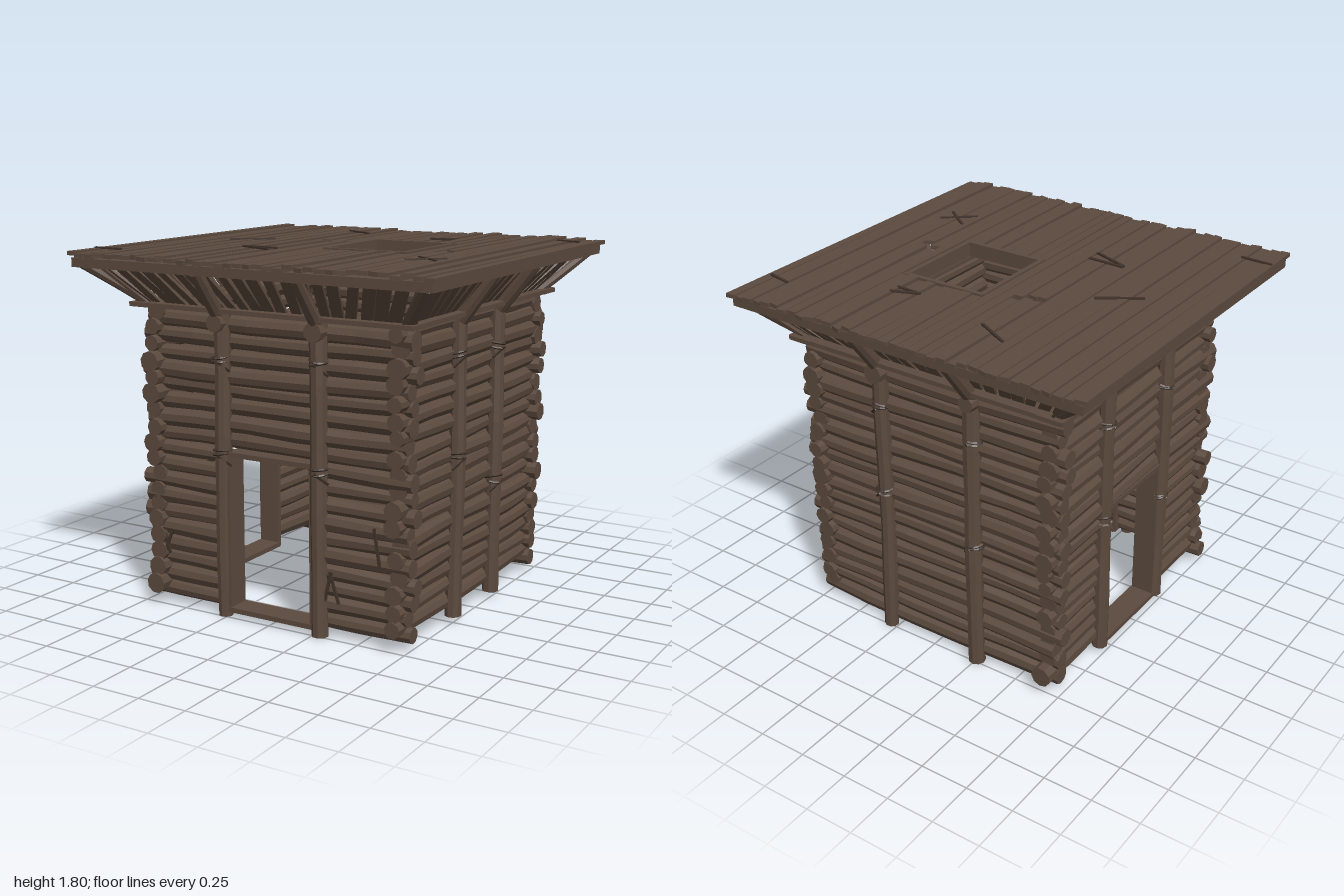
import * as THREE from 'three';

const wood = new THREE.MeshStandardMaterial({ color: 0x5c4a3e, flatShading: true });
wood.name = 'brown wood';
const rope = new THREE.MeshStandardMaterial({ color: 0x40332b, flatShading: true });
rope.name = 'dark rope';

const V = (x, y, z) => new THREE.Vector3(x, y, z);

export function createModel() {
  let seed = 11;
  const rnd = () => (seed = (seed * 16807) % 2147483647) / 2147483647;
  const jit = (a) => (rnd() * 2 - 1) * a;

  const root = new THREE.Group();
  root.name = 'logHut';
  const group = (name) => {
    const g = new THREE.Group();
    g.name = name;
    root.add(g);
    return g;
  };

  // Slightly crooked round log from a to b
  function log(parent, name, a, b, r, bend = 0.006) {
    const len = a.distanceTo(b);
    const geo = new THREE.CylinderGeometry(r * (1 + jit(0.1)), r * (1 + jit(0.1)), len, 9, 5);
    const p = geo.attributes.position;
    const ph = rnd() * 6, f = 3 + rnd() * 2;
    for (let i = 0; i < p.count; i++) {
      const y = p.getY(i);
      const k = 1 + 0.06 * Math.sin(y * 9 + ph);
      p.setX(i, p.getX(i) * k + bend * Math.sin(y * f + ph));
      p.setZ(i, p.getZ(i) * k + bend * Math.cos(y * f + ph * 2));
    }
    geo.computeVertexNormals();
    const m = new THREE.Mesh(geo, wood);
    m.name = name;
    m.position.copy(a).add(b).multiplyScalar(0.5);
    m.quaternion.setFromUnitVectors(V(0, 1, 0), b.clone().sub(a).normalize());
    m.rotateY(rnd() * 6);
    parent.add(m);
  }

  // Rough board from a to b; face is the direction its broad side looks
  function plank(parent, name, a, b, w, t, face, rough = 0, mat = wood) {
    const len = a.distanceTo(b);
    const geo = new THREE.BoxGeometry(w, len, t);
    const p = geo.attributes.position;
    const off = [0, 1, 2, 3].map(() => [jit(rough * 0.4), jit(rough)]);
    for (let i = 0; i < p.count; i++) {
      const o = off[(p.getX(i) > 0 ? 1 : 0) + (p.getY(i) > 0 ? 2 : 0)];
      p.setXY(i, p.getX(i) + o[0], p.getY(i) + o[1]);
    }
    geo.computeVertexNormals();
    const m = new THREE.Mesh(geo, mat);
    m.name = name;
    const y = b.clone().sub(a).normalize();
    const x = y.clone().cross(face).normalize();
    const z = x.clone().cross(y);
    m.quaternion.setFromRotationMatrix(new THREE.Matrix4().makeBasis(x, y, z));
    m.position.copy(a).add(b).multiplyScalar(0.5);
    parent.add(m);
  }

  // Each wall: u runs along the wall, d is the distance outward from the middle
  const C = 0.015; // wall centre in x
  const walls = [
    { name: 'frontWall', at: (u, y, d) => V(u + C, y, d), n: V(0, 0, 1), posts: [-0.285, 0.265], door: true, lift: 0, foot: 0 },
    { name: 'backWall', at: (u, y, d) => V(u + C, y, -d), n: V(0, 0, -1), posts: [-0.265, 0.275], door: false, lift: 0, foot: 0 },
    { name: 'leftWall', at: (u, y, d) => V(d + C, y, u), n: V(1, 0, 0), posts: [-0.2, 0.23], door: false, lift: 0.04, foot: 0.03 },
    { name: 'rightWall', at: (u, y, d) => V(-d + C, y, u), n: V(-1, 0, 0), posts: [-0.31, 0.24], door: true, lift: 0.04, foot: 0.03 },
  ];
  const D = 0.685, doorTop = 0.82;

  for (const { name, at, n, posts, door, lift, foot } of walls) {
    const g = group(name);
    const [p0, p1] = posts;
    // Stacked logs, cut away at the doorway
    for (let i = 0; i < 18; i++) {
      const y = 0.075 + i * 0.0815 + lift * 0.9;
      const e0 = -0.75 + jit(0.03), e1 = 0.75 + jit(0.03);
      const d = D + jit(0.008), r = 0.045 + jit(0.005);
      const ya = y + jit(0.007), yb = y + jit(0.007);
      if (door && y < doorTop + 0.02) {
        log(g, 'wallLog', at(e0, ya, d), at(p0 + 0.02, y, d), r, 0.003);
        log(g, 'wallLog', at(p1 - 0.02, y, d), at(e1, yb, d), r, 0.003);
      } else log(g, 'wallLog', at(e0, ya, d), at(e1, yb, d), r);
    }
    // Upright posts, their heads and the eave struts above them
    for (const u of posts) {
      log(g, 'wallPost', at(u, foot, 0.728), at(u + jit(0.01), 1.53, 0.728), 0.041, 0.003);
      if (!lift) log(g, 'postHead', at(u, 1.47, 0.66), at(u, 1.47, 0.785), 0.046, 0);
      log(g, 'eaveStrut', at(u, 1.5, 0.74), at(u, 1.73, 0.92), 0.034, 0.002);
    }
    // Door frame
    if (door) {
      const a = p0 + 0.035, b = p1 - 0.035;
      plank(g, 'doorSill', at(a, 0.04, D), at(b, 0.04, D), 0.13, 0.025, V(0, 1, 0));
      plank(g, 'doorLintel', at(a, doorTop + 0.01, D), at(b, doorTop + 0.01, D), 0.12, 0.025, V(0, 1, 0));
      for (const u of [a, b]) {
        const side = at(1, 0, 0).sub(at(0, 0, 0));
        plank(g, 'doorJamb', at(u, 0.03, D), at(u, doorTop, D), 0.12, 0.025, side);
      }
    }
    // Flat top plate
    plank(g, 'topPlate', at(-0.79, 1.53, 0.72), at(0.79, 1.53, 0.72), 0.13, 0.022, V(0, 1, 0));
    // Flared eave slats, fanning out toward the corners
    const slats = 21;
    for (let i = 0; i < slats; i++) {
      const t = (i / (slats - 1)) * 2 - 1;
      const face = n.clone().multiplyScalar(0.72).add(V(0, -0.69, 0));
      plank(g, 'eaveSlat', at(t * 0.72 + jit(0.012), 1.53, 0.715),
        at(t * 0.88 + jit(0.015), 1.73, 0.885 + jit(0.008)), 0.058 + jit(0.01), 0.014, face, 0.008);
    }
    // Rope bindings round the posts
    for (const u of posts) {
      for (let k = 0; k < 2; k++) {
        const y = k ? 1.29 + jit(0.05) : 0.72 + jit(0.13);
        for (const dy of [0, 0.018]) {
          const m = new THREE.Mesh(new THREE.TorusGeometry(0.045, 0.006, 4, 12), rope);
          m.name = 'postBinding';
          m.position.copy(at(u, y + dy, 0.728));
          m.rotation.set(Math.PI / 2 + jit(0.2), jit(0.25), 0);
          g.add(m);
        }
        plank(g, 'bindingTail', at(u, y, 0.774), at(u + 0.055, y - 0.05, 0.735), 0.012, 0.008, n, 0, rope);
      }
    }
  }

  // Corner struts of the eaves
  const eaves = group('eaveFrame');
  for (const sx of [-1, 1]) for (const sz of [-1, 1])
    log(eaves, 'cornerStrut', V(C + sx * 0.72, 1.53, sz * 0.71), V(sx * 0.94, 1.735, sz * 0.92), 0.03, 0.002);
  // Rails under the roof edge
  for (const s of [-1, 1]) {
    plank(eaves, 'roofRail', V(-0.98, 1.737, s * 0.925), V(0.98, 1.737, s * 0.925), 0.07, 0.045, V(0, 1, 0));
    plank(eaves, 'roofRail', V(s * 0.945, 1.737, -0.96), V(s * 0.945, 1.737, 0.96), 0.07, 0.045, V(0, 1, 0));
  }

  // Roof boards along z, interrupted by the hatch and by two broken places
  const roof = group('roof');
  const hatch = { x0: -0.005, x1: 0.425, z0: -0.325, z1: 0.185 };
  const count = 37, step = 2 / count;
  for (let i = 0; i < count; i++) {
    const x = -1 + step * (i + 0.5);
    const z0 = -0.978 + jit(0.01), z1 = 0.975 + jit(0.01);
    let cuts = [[z0, z1]];
    if (x > hatch.x0 - 0.02 && x < hatch.x1 + 0.02) cuts = [[z0, hatch.z0], [hatch.z1, z1]];
    else if (x > -0.32 && x < -0.12) {
      const c = -0.23 + jit(0.03);
      cuts = [[z0, c - 0.022], [c + 0.022, z1]];
    } else if (x > 0.5 && x < 0.63) {
      const c = 0.03 + (x - 0.55) * 0.5;
      cuts = [[z0, c - 0.025], [c + 0.025, z1]];
    }
    const y = 1.776 + jit(0.007), w = step - 0.002 - rnd() * 0.005;
    for (const [a, b] of cuts)
      plank(roof, 'roofBoard', V(x, y + jit(0.004), a), V(x, y + jit(0.004), b), w, 0.02, V(0, 1, 0), 0.009);
  }
  // Hatch frame
  for (const z of [hatch.z0, hatch.z1])
    plank(roof, 'hatchFrame', V(-0.025, 1.755, z), V(0.445, 1.755, z), 0.075, 0.025, V(0, 0, 1));
  for (const x of [-0.017, 0.428])
    plank(roof, 'hatchFrame', V(x, 1.755, hatch.z0), V(x, 1.755, hatch.z1), 0.075, 0.025, V(1, 0, 0));

  // Thin lashing strips on the roof: x, z to x, z
  const strips = [
    [-0.4, -0.7, -0.22, -0.6], [0.22, -0.49, 0.36, -0.54], [0.22, -0.49, 0.36, -0.48],
    [-0.68, 0.06, -0.48, -0.07], [-0.4, 0.33, -0.2, 0.34], [-0.4, 0.34, -0.2, 0.42],
    [0.6, 0.36, 0.75, 0.48], [0.6, 0.5, 0.75, 0.37], [0.83, -0.74, 0.96, -0.71], [-0.99, 0.77, -0.82, 0.78],
  ];
  for (const [a, b, c, d] of strips)
    plank(roof, 'roofStrip', V(a, 1.793, b), V(c, 1.793, d), 0.014, 0.009, V(0, 1, 0), 0, rope);

  // Lashing strips on the front wall: x, y to x, y
  const lash = group('wallStrips');
  for (const [a, b, c, d] of [[-0.64, 0.4, -0.6, 0.27], [-0.63, 0.28, -0.58, 0.4], [0.58, 0.58, 0.61, 0.4],
    [0.31, 0.18, 0.35, 0.33], [0.34, 0.33, 0.39, 0.18]])
    plank(lash, 'wallStrip', V(a, b, 0.737), V(c, d, 0.737), 0.014, 0.009, V(0, 0, 1), 0, rope);

  return root;
}
